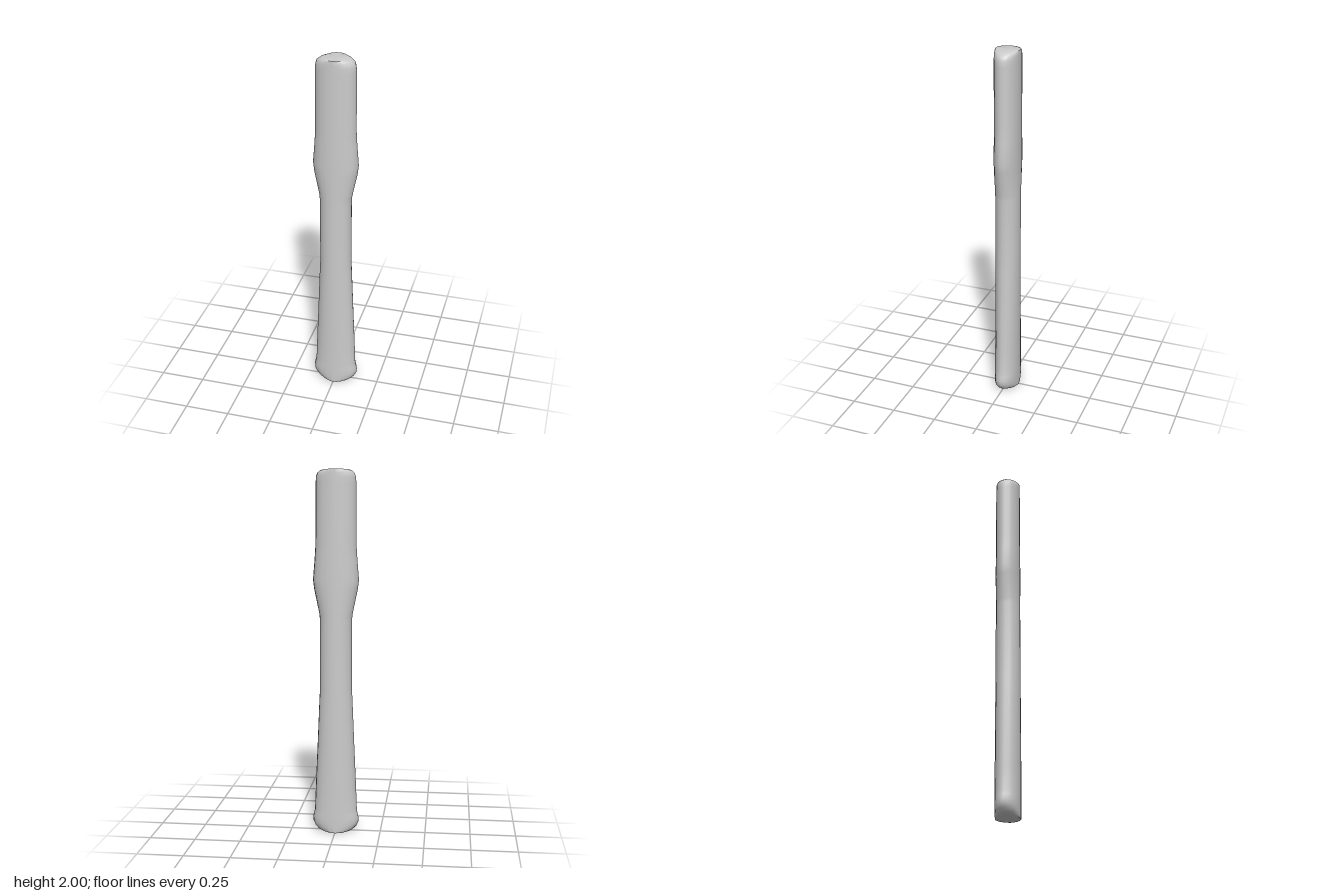
import * as THREE from 'three';
import { toCreasedNormals } from 'three/addons/utils/BufferGeometryUtils.js';

// Half width of the handle along its length, top to bottom: [y, half width in x]
const PROFILE = [
  [2.0, 0.06], [1.993, 0.084], [1.98, 0.1], [1.96, 0.107], [1.93, 0.109],
  [1.6, 0.111], [1.52, 0.116], [1.41, 0.125], [1.36, 0.119], [1.22, 0.09],
  [1.19, 0.088], [0.81, 0.088], [0.76, 0.091], [0.5, 0.102], [0.25, 0.113],
  [0.12, 0.118], [0.1, 0.122], [0.075, 0.128], [0.05, 0.126], [0.03, 0.117],
  [0.012, 0.1], [0.003, 0.082], [0.0, 0.066],
];
const HALF_DEPTH = 0.067;
const SIDES = 20;

export function createModel() {
  const group = new THREE.Group();
  group.name = 'toolHandle';

  // A capped cylinder whose rings become ellipses of constant depth and varying width
  const rows = PROFILE.length - 1;
  const geometry = new THREE.CylinderGeometry(1, 1, rows, SIDES, rows);
  const pos = geometry.attributes.position;
  for (let i = 0; i < pos.count; i++) {
    const [y, halfWidth] = PROFILE[Math.round(rows / 2 - pos.getY(i))];
    pos.setXYZ(i, pos.getX(i) * halfWidth, y, pos.getZ(i) * HALF_DEPTH);
  }

  const handle = new THREE.Mesh(
    toCreasedNormals(geometry, 0.8),
    new THREE.MeshStandardMaterial({ color: 0xcccccc })
  );
  handle.name = 'handle';
  group.add(handle);
  return group;
}
